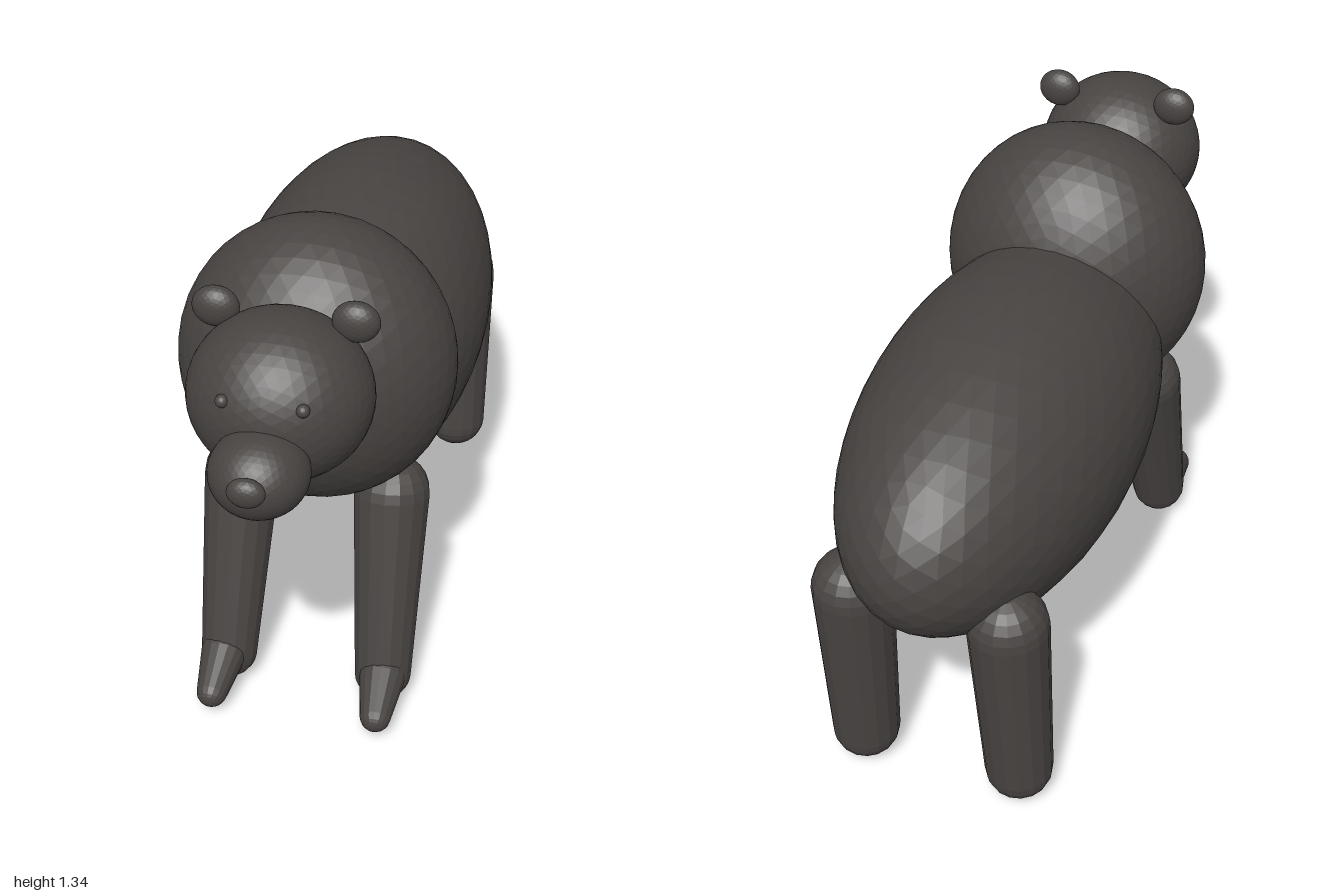
import * as THREE from 'three';

const fur = new THREE.MeshStandardMaterial({ color: 0x484442, flatShading: true });
fur.name = 'dark fur';

// Faceted ellipsoid with centre and radii
function ellipsoid(name, centre, radii, detail = 7) {
  const mesh = new THREE.Mesh(new THREE.IcosahedronGeometry(1, detail), fur);
  mesh.name = name;
  mesh.position.set(...centre);
  mesh.scale.set(...radii);
  return mesh;
}

// Tapered limb with round ends, running from point a up to point b
function limb(name, a, ra, b, rb) {
  const start = new THREE.Vector3(...a);
  const axis = new THREE.Vector3(...b).sub(start);
  const length = axis.length();
  const tilt = Math.asin((ra - rb) / length);
  const profile = [];
  const steps = 6;
  for (let i = 0; i <= steps; i++) {
    const t = -Math.PI / 2 + (tilt + Math.PI / 2) * i / steps;
    profile.push(new THREE.Vector2(ra * Math.cos(t), ra * Math.sin(t)));
  }
  for (let i = 0; i <= steps; i++) {
    const t = tilt + (Math.PI / 2 - tilt) * i / steps;
    profile.push(new THREE.Vector2(rb * Math.cos(t), length + rb * Math.sin(t)));
  }
  const mesh = new THREE.Mesh(new THREE.LatheGeometry(profile, 16), fur);
  mesh.name = name;
  mesh.position.copy(start);
  mesh.quaternion.setFromUnitVectors(new THREE.Vector3(0, 1, 0), axis.normalize());
  return mesh;
}

export function createModel() {
  const bear = new THREE.Group();
  bear.name = 'bear';

  // Trunk
  bear.add(
    ellipsoid('body', [0, 0.78, -0.28], [0.355, 0.385, 0.72]),
    ellipsoid('shoulders', [0, 0.96, 0.262], [0.355, 0.385, 0.29])
  );

  // Head
  const head = new THREE.Group();
  head.name = 'head';
  head.add(
    ellipsoid('skull', [0, 1.107, 0.645], [0.222, 0.207, 0.205]),
    ellipsoid('muzzle', [0, 1.034, 0.855], [0.118, 0.104, 0.118]),
    ellipsoid('nose', [0, 1.063, 0.973], [0.045, 0.037, 0.027], 3)
  );
  bear.add(head);

  // Paired parts
  for (const [side, s] of [['left', 1], ['right', -1]]) {
    head.add(
      ellipsoid(side + 'Ear', [s * 0.165, 1.287, 0.585], [0.057, 0.052, 0.035], 4),
      ellipsoid(side + 'Eye', [s * 0.093, 1.186, 0.813], [0.016, 0.016, 0.016], 3)
    );
    bear.add(
      limb(side + 'FrontLeg', [s * 0.212, 0.09, 0.435], 0.076, [s * 0.2, 0.585, 0.285], 0.1),
      limb(side + 'FrontPaw', [s * 0.218, 0.108, 0.468], 0.062, [s * 0.222, 0.066, 0.585], 0.041),
      limb(side + 'BackLeg', [s * 0.213, 0.09, -0.772], 0.088, [s * 0.203, 0.605, -0.81], 0.102)
    );
  }
  return bear;
}
